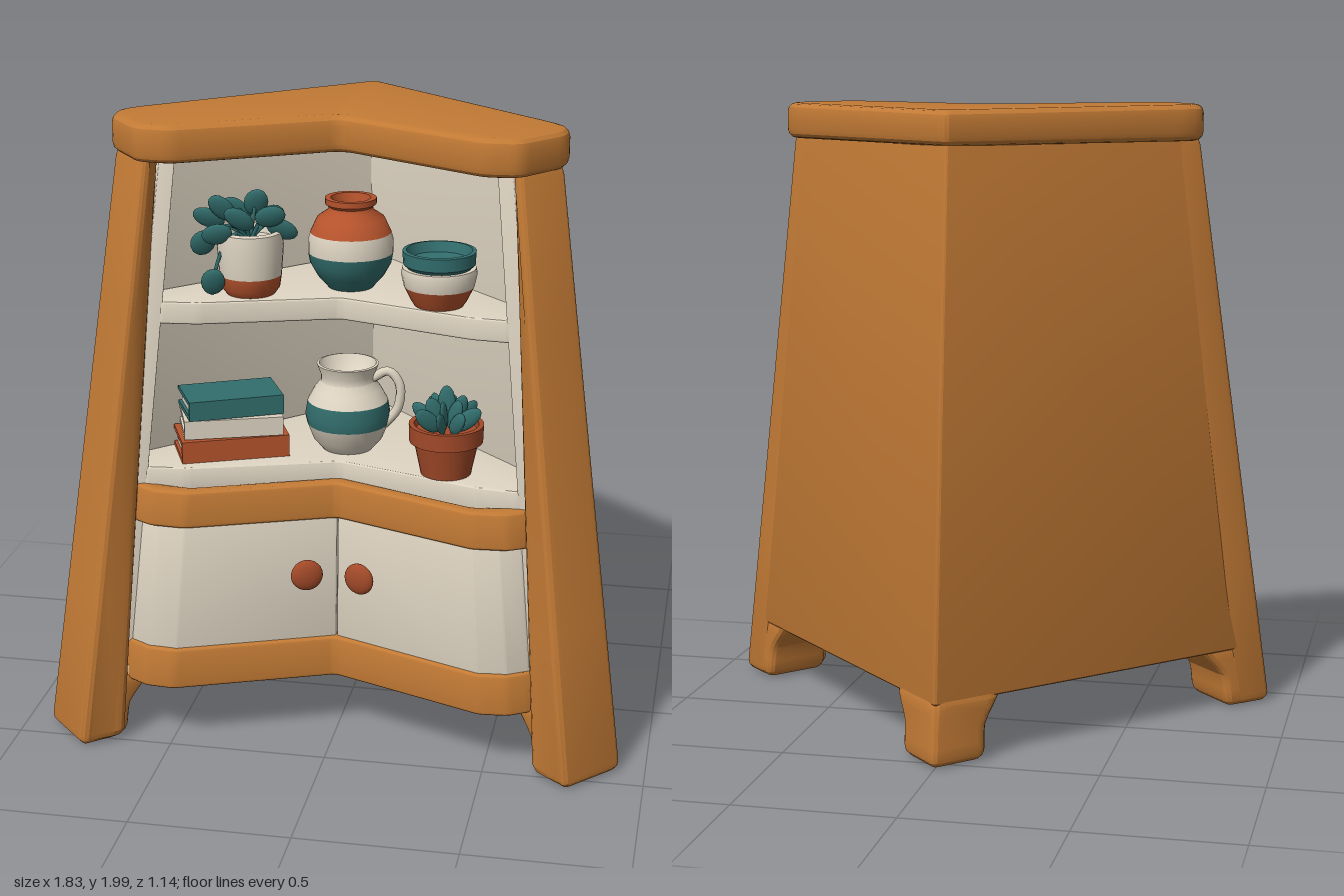
import * as THREE from 'three';
import { toCreasedNormals } from 'three/addons/utils/BufferGeometryUtils.js';

const mat = (name, color, side = THREE.FrontSide) => {
  const m = new THREE.MeshStandardMaterial({ color, side });
  m.name = name;
  return m;
};

export function createModel() {
  const wood = mat('honey wood', 0xc27a35);
  const rawWood = mat('raw underside wood', 0xccab82);
  const cream = mat('cream paint', 0xdcd2c0, THREE.DoubleSide);
  const teal = mat('teal glaze', 0x326e6d, THREE.DoubleSide);
  const clay = mat('terracotta', 0xb5532c, THREE.DoubleSide);
  const darkClay = mat('dark terracotta', 0xa34a29, THREE.DoubleSide);

  const model = new THREE.Group();
  model.name = 'cornerCabinet';

  const add = (name, geo, material, parent = model) => {
    const mesh = new THREE.Mesh(geo, material);
    mesh.name = name;
    parent.add(mesh);
    return mesh;
  };
  const group = (name, x, y, z) => {
    const g = new THREE.Group();
    g.name = name;
    g.position.set(x, y, z);
    model.add(g);
    return g;
  };

  // Mirror a half plan (x >= 0) into a full outline
  const sym = half => [...half, ...half.filter(p => p[0] > 0).reverse().map(([x, z]) => [-x, z])];
  const flip = (plan, s) => plan.map(([x, z]) => [x * s, z]);

  // Plan outline with softened corners
  const outline = (plan, r) => {
    const pts = plan.map(([x, z]) => new THREE.Vector2(x, -z));
    const shape = new THREE.Shape();
    pts.forEach((p, i) => {
      const prev = pts[(i + pts.length - 1) % pts.length], next = pts[(i + 1) % pts.length];
      const toward = q => p.clone().lerp(q, Math.min(0.45, r / p.distanceTo(q)));
      const a = toward(prev), b = toward(next);
      if (i) shape.lineTo(a.x, a.y); else shape.moveTo(a.x, a.y);
      shape.quadraticCurveTo(p.x, p.y, b.x, b.y);
    });
    shape.closePath();
    return shape;
  };

  // The whole carcass narrows linearly towards the top
  const taper = v => {
    const t = v.y / 1.9;
    v.x *= 1 - 0.27 * t;
    v.z *= 1 - 0.33 * t;
  };

  // Extrude a plan from y0 to y1, then move the vertices by a rule
  const prism = (plan, y0, y1, { r = 0.02, bevel = 0.01, steps = 1, rule = taper } = {}) => {
    const geo = new THREE.ExtrudeGeometry(outline(plan, r), {
      depth: y1 - y0 - 2 * bevel, steps, curveSegments: 4,
      bevelEnabled: true, bevelSize: bevel, bevelThickness: bevel, bevelOffset: -bevel, bevelSegments: 3,
    });
    geo.rotateX(-Math.PI / 2).translate(0, y0 + bevel, 0);
    const pos = geo.attributes.position, v = new THREE.Vector3();
    for (let i = 0; i < pos.count; i++) {
      v.fromBufferAttribute(pos, i);
      rule(v);
      pos.setXYZ(i, v.x, v.y, v.z);
    }
    return toCreasedNormals(geo, 0.35);
  };

  // Top board, dipping slightly towards the back corner
  add('topBoard', prism(sym([[0, -0.415], [0.65, 0.165], [0.69, 0.22], [0.685, 0.3], [0.57, 0.45], [0.46, 0.458], [0, 0.205]]),
    1.88, 1.998, { r: 0.035, bevel: 0.028, rule: v => { if (v.y > 1.94) v.y -= 0.012 * (0.46 - v.z); } }), wood);

  // Back walls, liner, bottom and shelves
  add('backWalls', prism(sym([[0, -0.575], [0.925, 0.41], [0.86, 0.42], [0, -0.49]]), 0.2, 1.9), wood);
  add('liner', prism(sym([[0, -0.495], [0.785, 0.33], [0.725, 0.47], [0.66, 0.46], [0.745, 0.33], [0, -0.455]]),
    0.24, 1.89, { r: 0.005, bevel: 0.003 }), cream);
  add('bottomBoard', prism(sym([[0, -0.55], [0.85, 0.36], [0.69, 0.47], [0.6, 0.48], [0.52, 0.48], [0, 0.29]]),
    0.2, 0.25), rawWood);
  const shelf = sym([[0, -0.46], [0.75, 0.33], [0.67, 0.465], [0.52, 0.45], [0, 0.275]]);
  add('lowerShelf', prism(shelf, 0.83, 0.905), cream);
  add('upperShelf', prism(shelf, 1.36, 1.43), cream);

  // Bent front rails, ending against the legs
  const rail = end => sym([[0, 0.265], [0.5, 0.465], [0.59, 0.455], [0.72, 0.42], [end, 0.478],
    [end - 0.065, 0.517], [0.5, 0.525], [0, 0.325]]);
  add('lowerRail', prism(rail(0.66), 0.2, 0.335, { bevel: 0.015 }), wood);
  add('middleRail', prism(rail(0.69), 0.73, 0.85, { bevel: 0.015 }), wood);

  // Rear foot spreading into the walls
  const spread = y => THREE.MathUtils.smoothstep(y, 0.1, 0.22);
  add('backFoot', prism(sym([[0, -0.58], [0.137, -0.434], [0.1, -0.37], [0, -0.345]]), 0.005, 0.23, {
    r: 0.035, bevel: 0.035, steps: 6, rule: v => {
      const k = 1 + 0.3 * spread(v.y);
      v.x *= k;
      v.z = -0.575 + (v.z + 0.575) * k;
      taper(v);
    },
  }), wood);

  const legPlan = [[0.935, 0.41], [0.765, 0.592], [0.685, 0.49], [0.82, 0.3]];
  const footPlan = [[0.92, 0.405], [0.76, 0.575], [0.645, 0.46], [0.8, 0.28]];
  for (const s of [1, -1]) {
    const side = s > 0 ? 'left' : 'right';
    // Front leg, its inner edge leaning less than the rest
    add(side + 'FrontLeg', prism(flip(legPlan, s), 0.005, 1.9, {
      r: 0.04, bevel: 0.035, steps: 4, rule: v => {
        const inner = THREE.MathUtils.clamp((0.74 - v.x * s) / 0.05, 0, 1);
        taper(v);
        v.x += s * inner * (0.08 * v.y / 1.9 - 0.045);
      },
    }), wood);
    // Front foot, which spreads inwards
    add(side + 'FrontFoot', prism(flip(footPlan, s), 0.005, 0.23, {
      r: 0.04, bevel: 0.035, steps: 6, rule: v => {
        const reach = Math.max(0, (0.83 - v.x * s) * 0.75 + (0.475 - v.z) * 0.66) * 0.5 * spread(v.y);
        v.x -= 0.75 * s * reach;
        v.z -= 0.66 * reach;
        taper(v);
      },
    }), wood);
    // Door and knob
    const door = [[0.002, 0.312], [0.5, 0.512], [0.595, 0.504], [0.66, 0.465], [0.71, 0.42], [0.6, 0.45], [0.5, 0.46], [0.002, 0.26]];
    add(side + 'Door', prism(flip(door, s), 0.32, 0.745, { r: 0.005, bevel: 0.003 }), cream);
    const knob = group(side + 'Knob', 0.083 * s, 0.56, 0.35);
    knob.rotation.y = -0.36 * s;
    add('knobHead', new THREE.SphereGeometry(0.051, 20, 12).scale(1, 1, 0.42), darkClay, knob);
    add('knobStem', new THREE.CylinderGeometry(0.02, 0.02, 0.05, 12).rotateX(Math.PI / 2).translate(0, 0, -0.03), darkClay, knob);
  }

  // Turned pottery from [radius, height] profiles
  const turn = (name, pts, material, parent) =>
    add(name, toCreasedNormals(new THREE.LatheGeometry(pts.map(p => new THREE.Vector2(...p)), 28), 0.7), material, parent);
  const leaf = (parent, x, y, z, rx, rz, w, h) => {
    const m = add('leaf', new THREE.SphereGeometry(1, 10, 8).scale(w, h, w * 0.4), teal, parent);
    m.position.set(x, y, z);
    m.rotation.set(rx, 0, rz);
  };

  // Trailing plant
  const plant = group('trailingPlant', -0.285, 1.43, 0.195);
  turn('potBase', [[0, 0], [0.075, 0], [0.09, 0.02], [0.096, 0.06]], clay, plant);
  turn('potBody', [[0.096, 0.06], [0.103, 0.15], [0.098, 0.195], [0.085, 0.2], [0.08, 0.17], [0, 0.165]], cream, plant);
  const leaves = [[-0.13, 0.23, 0, 1.2], [-0.08, 0.27, 0.03, 0.6], [-0.02, 0.245, 0.06, 0.9], [0.015, 0.28, -0.02, -0.4],
    [0.07, 0.25, 0.03, -1.1], [0.1, 0.205, 0, -2], [-0.145, 0.155, 0.02, 2.6], [-0.1, 0.05, 0.08, 2.8],
    [-0.085, 0.2, 0.08, 2], [0.05, 0.225, -0.07, -0.8], [-0.06, 0.24, -0.08, 0.7]];
  for (const [x, y, z, roll] of leaves) {
    leaf(plant, x, y, z, 0.4, roll, 0.037, 0.051);
    const stem = new THREE.QuadraticBezierCurve3(new THREE.Vector3(0, 0.16, 0),
      new THREE.Vector3(x * 0.6, 0.26, z * 0.6), new THREE.Vector3(x, y, z));
    add('stem', new THREE.TubeGeometry(stem, 8, 0.006, 5), teal, plant);
  }

  // Banded vase
  const vase = group('bandedVase', 0.005, 1.43, 0.07);
  turn('vaseBase', [[0, 0], [0.07, 0], [0.105, 0.04], [0.127, 0.08], [0.133, 0.112]], teal, vase);
  turn('vaseBand', [[0.133, 0.112], [0.133, 0.15], [0.126, 0.175]], cream, vase);
  turn('vaseTop', [[0.126, 0.175], [0.105, 0.22], [0.072, 0.243], [0.068, 0.255], [0.08, 0.265], [0.08, 0.283],
    [0.062, 0.283], [0.055, 0.25], [0, 0.22]], clay, vase);

  // Stacked bowls
  const bowls = group('stackedBowls', 0.305, 1.43, 0.22);
  turn('bowlBase', [[0, 0], [0.075, 0], [0.085, 0.015], [0.107, 0.06]], clay, bowls);
  turn('bowlBand', [[0.107, 0.06], [0.116, 0.1], [0.112, 0.118], [0, 0.118]], cream, bowls);
  turn('upperBowl', [[0, 0.115], [0.095, 0.115], [0.11, 0.13], [0.112, 0.17], [0.1, 0.172], [0.09, 0.14], [0, 0.13]], teal, bowls);

  // Books: two covers, a spine and a page block
  const books = group('books', -0.355, 0.905, 0.2);
  [[clay, 0, 0.34, 0.4, 0.07], [cream, 0.075, 0.31, 0.34, 0.06], [teal, 0.14, 0.3, 0.45, 0.062]].forEach(([m, y, w, turnY, h]) => {
    const book = new THREE.Group();
    book.name = 'book';
    book.position.y = y;
    book.rotation.y = turnY;
    books.add(book);
    for (const cy of [0.007, h - 0.007]) add('cover', new THREE.BoxGeometry(w, 0.014, 0.18).translate(0, cy, 0), m, book);
    add('spine', new THREE.BoxGeometry(w, h, 0.014).translate(0, h / 2, 0.083), m, book);
    add('pages', new THREE.BoxGeometry(w - 0.02, h - 0.028, 0.16).translate(0, h / 2, -0.005), cream, book);
  });

  // Pitcher
  const pitcher = group('pitcher', 0, 0.905, 0.095);
  turn('pitcherBase', [[0, 0], [0.08, 0], [0.11, 0.035], [0.129, 0.085]], cream, pitcher);
  turn('pitcherBand', [[0.129, 0.085], [0.135, 0.115], [0.127, 0.16]], teal, pitcher);
  turn('pitcherTop', [[0.127, 0.16], [0.105, 0.2], [0.085, 0.225], [0.085, 0.245], [0.098, 0.28], [0.09, 0.282],
    [0.072, 0.24], [0, 0.2]], cream, pitcher);
  const handle = new THREE.CatmullRomCurve3([[0.08, 0.235], [0.13, 0.26], [0.165, 0.22], [0.16, 0.14], [0.115, 0.08]]
    .map(([x, y]) => new THREE.Vector3(x, y, 0)));
  add('handle', new THREE.TubeGeometry(handle, 20, 0.015, 8), cream, pitcher);

  // Succulent
  const succulent = group('succulent', 0.34, 0.905, 0.265);
  turn('pot', [[0, 0], [0.078, 0], [0.1, 0.105], [0.114, 0.105], [0.116, 0.16], [0.1, 0.16], [0.095, 0.14], [0, 0.135]], darkClay, succulent);
  leaf(succulent, 0, 0.22, 0, 0, 0, 0.028, 0.063);
  for (const [n, tilt, r, y] of [[6, 0.4, 0.035, 0.195], [8, 0.85, 0.065, 0.178]]) {
    for (let i = 0; i < n; i++) {
      const spoke = new THREE.Group();
      spoke.name = 'leafSpoke';
      spoke.rotation.y = (i + tilt) / n * Math.PI * 2;
      succulent.add(spoke);
      leaf(spoke, r, y, 0, 0, -tilt, 0.027, 0.055);
    }
  }
  return model;
}
